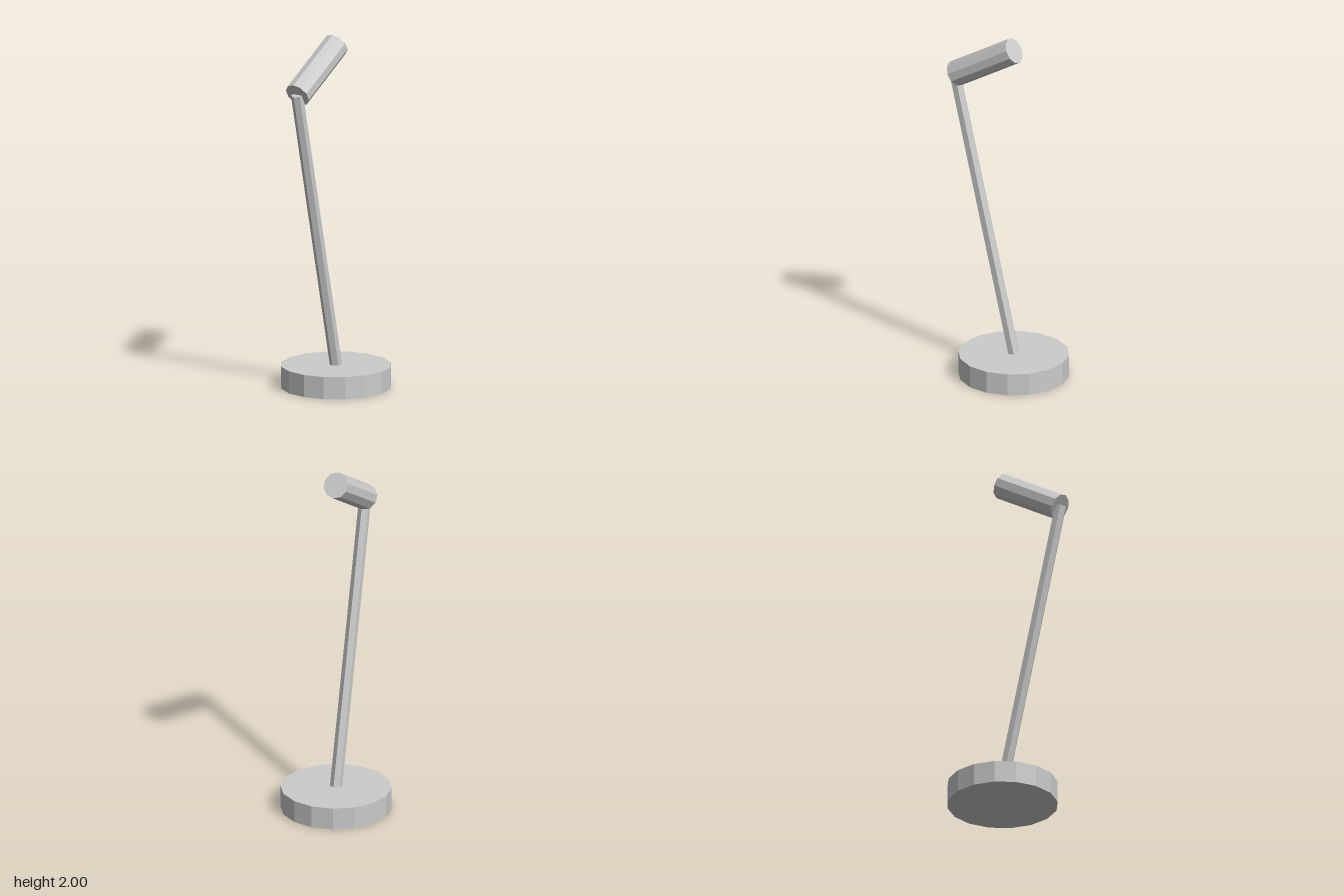
import * as THREE from 'three';

const material = new THREE.MeshStandardMaterial({ color: 0xcccccc, flatShading: true });

// Faceted cylinder centred at (0, y, z) and tilted about x by a number of degrees
function rod(name, radius, length, sides, y, z, tilt = 0) {
  const mesh = new THREE.Mesh(new THREE.CylinderGeometry(radius, radius, length, sides), material);
  mesh.name = name;
  mesh.position.set(0, y, z);
  mesh.rotation.x = THREE.MathUtils.degToRad(tilt);
  return mesh;
}

export function createModel() {
  const model = new THREE.Group();
  model.name = 'deskLamp';
  model.add(
    // Round foot, set slightly behind the centre
    rod('base', 0.307, 0.125, 16, 0.0625, -0.05),
    // Thin hexagonal stem leaning forward
    rod('stem', 0.034, 1.642, 6, 0.925, 0.136, 13.05),
    // Lamp head sloping down towards the front
    rod('lampHead', 0.073, 0.428, 10, 1.83, 0.133, -60),
  );
  return model;
}
